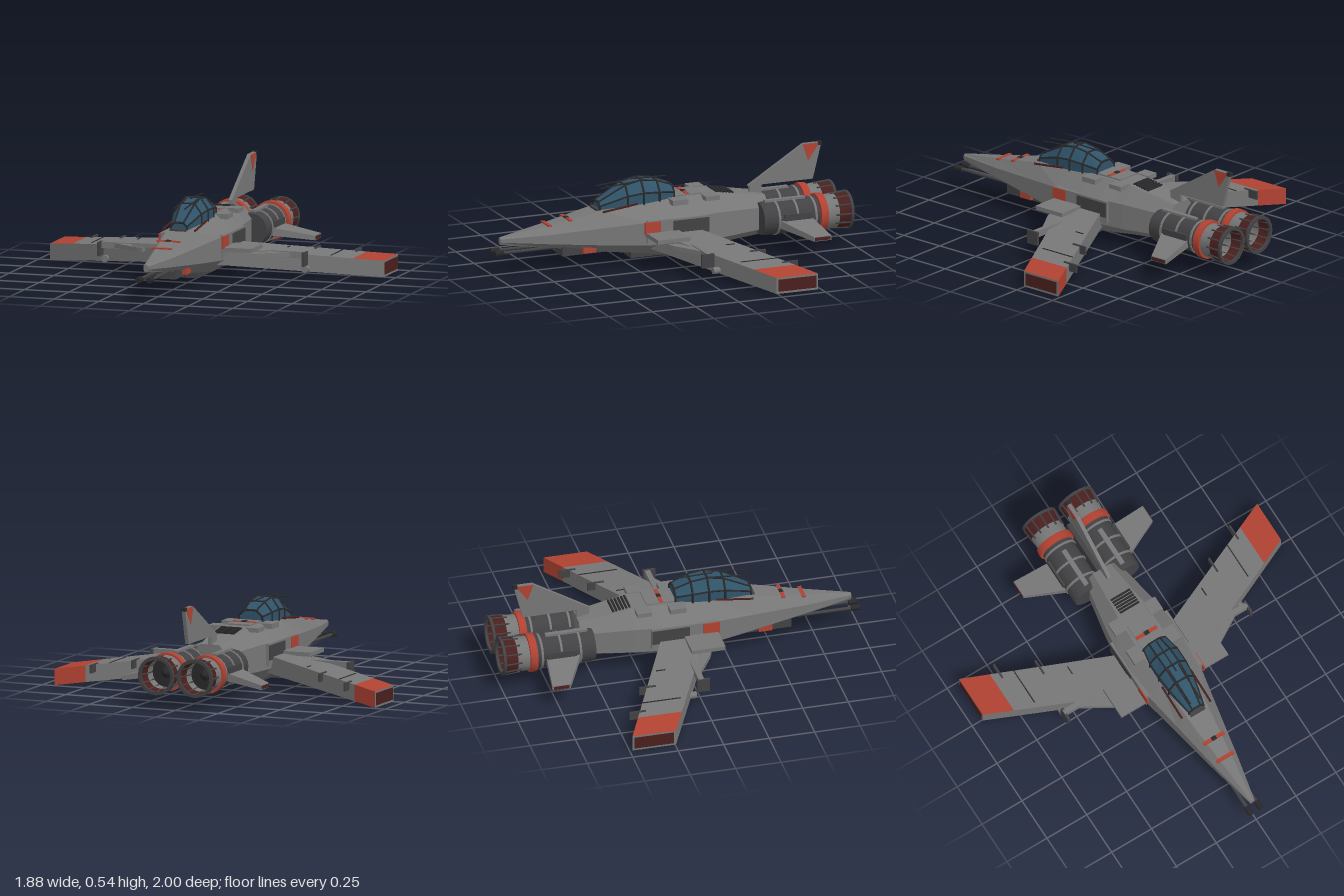
import * as THREE from 'three';
import { toCreasedNormals } from 'three/addons/utils/BufferGeometryUtils.js';

const paint = (name, color) => Object.assign(new THREE.MeshStandardMaterial({ color }), { name });
const M = {
  grey: paint('hull grey', 0x777777),
  dark: paint('dark metal', 0x424244),
  black: paint('gun black', 0x29292b),
  red: paint('signal red', 0xb04232),
  maroon: paint('burnt red', 0x4a1f1d),
  glass: paint('canopy glass', 0x2f5369),
};

// Skins a list of equal rings, flat shaded. Rings run counter-clockwise seen from the first ring's end.
// sideMats gives a material index for each side of the ring.
function loft(rings, sideMats) {
  const n = rings[0].length, pos = [], g = new THREE.BufferGeometry();
  const tri = (...p) => p.forEach((v) => pos.push(...v));
  const group = (start, m) => g.addGroup(start, pos.length / 3 - start, m);
  for (let i = 0; i < n; i++) {
    const start = pos.length / 3, j = (i + 1) % n;
    for (let k = 0; k + 1 < rings.length; k++) {
      const a = rings[k], b = rings[k + 1];
      tri(a[i], b[i], a[j]);
      tri(a[j], b[i], b[j]);
    }
    if (sideMats) group(start, sideMats[i]);
  }
  const start = pos.length / 3, last = rings[rings.length - 1];
  for (let i = 1; i + 1 < n; i++) {
    tri(rings[0][0], rings[0][i], rings[0][i + 1]);
    tri(last[0], last[i + 1], last[i]);
  }
  if (sideMats) group(start, 0);
  g.setAttribute('position', new THREE.Float32BufferAttribute(pos, 3));
  g.computeVertexNormals();
  return g;
}

// Mirror copy across x = 0 with the corner order put right
function mirror(geo) {
  const g = geo.index ? geo.toNonIndexed() : geo.clone();
  for (const key of ['position', 'normal']) {
    const a = g.attributes[key];
    for (let i = 0; i < a.count; i++) a.setX(i, -a.getX(i));
    for (let i = 0; i < a.count; i += 3) {
      const p = new THREE.Vector3().fromBufferAttribute(a, i + 1);
      const q = new THREE.Vector3().fromBufferAttribute(a, i + 2);
      a.setXYZ(i + 1, q.x, q.y, q.z);
      a.setXYZ(i + 2, p.x, p.y, p.z);
    }
  }
  return g;
}

// Box from its limits
function box(x0, x1, y0, y1, z0, z1) {
  return new THREE.BoxGeometry(x1 - x0, y1 - y0, Math.abs(z1 - z0))
    .translate((x0 + x1) / 2, (y0 + y1) / 2, (z0 + z1) / 2);
}

// Round bar between two points
function bar(a, b, r, sides = 6) {
  const p = new THREE.Vector3(...a), q = new THREE.Vector3(...b), d = q.clone().sub(p);
  const turn = new THREE.Quaternion().setFromUnitVectors(new THREE.Vector3(0, 1, 0), d.clone().normalize());
  return new THREE.CylinderGeometry(r, r, d.length(), sides)
    .applyQuaternion(turn).translate(...p.add(q).multiplyScalar(0.5).toArray());
}

// Turned part about the engine axis; profile is [radius, distance aft]
const ENGINE = [0.113, 0.178];
function turned(profile) {
  const pts = profile.map(([r, z]) => new THREE.Vector2(r, z));
  return toCreasedNormals(new THREE.LatheGeometry(pts, 20).rotateX(-Math.PI / 2), 0.5).translate(...ENGINE, 0);
}

// Four-cornered wing section: top rear, top front, bottom front, bottom rear
const rib = (x, zr, zf, yb, yt) => [[x, yt, zr], [x, yt, zf], [x, yb, zf], [x, yb, zr]];
// Horizontal plate from [x, z] corners, counter-clockwise seen from above
const plate = (pts, y0, y1) => loft([y1, y0].map((y) => pts.map(([x, z]) => [x, y, z])));
// Upright plate from [z, y] corners, counter-clockwise seen from +x
const upright = (pts, t) => loft([t, -t].map((x) => pts.map(([z, y]) => [x, y, z])));

export function createModel() {
  const root = new THREE.Group();
  root.name = 'starfighter';
  const add = (name, geo, mat, parent = root) => {
    const m = new THREE.Mesh(geo, mat);
    m.name = name;
    parent.add(m);
  };
  const pair = (name, geo, mat, parent = root) => {
    add(name + 'Left', geo, mat, parent);
    add(name + 'Right', mirror(geo), mat, parent);
  };

  // Fuselage: z, half widths (top, side, bottom), heights (top, shoulder, chine, bottom)
  const hull = [
    [0.96, 0.004, 0.014, 0.008, 0.203, 0.195, 0.178, 0.165],
    [0.70, 0.034, 0.068, 0.028, 0.247, 0.205, 0.155, 0.125],
    [0.40, 0.066, 0.122, 0.050, 0.305, 0.225, 0.130, 0.078],
    [0.18, 0.080, 0.163, 0.060, 0.325, 0.240, 0.115, 0.048],
    [0.00, 0.085, 0.170, 0.062, 0.337, 0.250, 0.110, 0.026],
    [-0.12, 0.085, 0.170, 0.062, 0.340, 0.250, 0.110, 0.034],
    [-0.27, 0.080, 0.152, 0.060, 0.336, 0.250, 0.110, 0.055],
    [-0.55, 0.055, 0.102, 0.050, 0.290, 0.235, 0.120, 0.080],
  ];
  add('fuselage', loft(hull.map(([z, wt, w, wb, yt, ys, yl, yb]) =>
    [[w, yl], [w, ys], [wt, yt], [-wt, yt], [-w, ys], [-w, yl], [-wb, yb], [wb, yb]].map(([x, y]) => [x, y, z]))), M.grey);

  // Raised panels, vents and painted stripes on the back
  add('spinePanel', box(-0.068, 0.068, 0.33, 0.346, -0.18, -0.02), M.grey);
  pair('shoulderPanelRear', box(0.075, 0.147, 0.318, 0.342, -0.25, -0.17), M.grey);
  pair('shoulderPanelFront', box(0.075, 0.147, 0.312, 0.34, -0.07, 0.02), M.grey);
  for (let i = 0; i < 6; i++) {
    const z = -0.27 - i * 0.018, y = 0.336 + (z + 0.27) * 0.16;
    add('ventSlat', box(-0.06, 0.06, y - 0.01, y + 0.008, z - 0.005, z + 0.005), M.black);
  }
  const stripes = [[-0.098, 0.347, 0.065], [0.575, 0.272, 0.065], [0.69, 0.251, 0.053]];
  for (const [z, y, w] of stripes) add('redStripe', box(-w, w, y - 0.006, y + 0.003, z - 0.01, z + 0.01), M.red);
  for (const i of [0, 1]) add('stripeMark', box(-0.014, 0.014, stripes[i][1], stripes[i][1] + 0.006, stripes[i][0] - 0.011, stripes[i][0] + 0.011), M.black);
  add('windscreenVent', box(-0.045, 0.045, 0.3, 0.313, 0.4, 0.42), M.dark);

  // Side panels
  pair('sideRail', box(0.15, 0.178, 0.13, 0.25, -0.18, 0.18), M.grey);
  pair('sideRedPanel', box(0.172, 0.182, 0.18, 0.246, 0.105, 0.195), M.red);
  pair('sideDarkPanel', box(0.172, 0.182, 0.16, 0.24, -0.175, 0.03), M.dark);

  // Canopy: z, base half width, top half width, waist height, top height
  const canopy = new THREE.Group();
  canopy.name = 'canopy';
  root.add(canopy);
  const panes = [
    [0.40, 0.045, 0.025, 0.325, 0.345], [0.25, 0.076, 0.038, 0.372, 0.425], [0.16, 0.084, 0.04, 0.382, 0.444],
    [0.07, 0.084, 0.04, 0.378, 0.432], [-0.02, 0.068, 0.034, 0.366, 0.398],
  ].map(([z, w, t, ym, yt]) => [[w, 0.305], [w, ym], [t, yt], [-t, yt], [-w, ym], [-w, 0.305]].map(([x, y]) => [x, y, z]));
  add('glass', loft(panes), M.glass, canopy);
  panes.forEach((ring, k) => {
    for (let i = 0; i < 5; i++) {
      add('hoop', bar(ring[i], ring[i + 1], 0.006), M.black, canopy);
      if (k && i > 0) add('rail', bar(panes[k - 1][i], ring[i], 0.005), M.black, canopy);
    }
  });
  add('topRod', bar([0, 0.441, 0.0], [0, 0.446, 0.2], 0.004), M.black, canopy);
  pair('frontRod', bar([0.03, 0.418, 0.39], [0.03, 0.44, 0.16], 0.004), M.black, canopy);
  pair('sillRod', bar([0.09, 0.305, 0.4], [0.09, 0.33, 0.2], 0.006), M.maroon, canopy);

  // Chin guns and housing
  add('chinHousing', box(-0.055, 0.055, 0.075, 0.14, 0.36, 0.62), M.dark);
  add('keel', box(-0.045, 0.045, 0.02, 0.07, -0.08, 0.22), M.dark);
  pair('gunBarrel', bar([0.031, 0.125, 0.5], [0.031, 0.125, 0.96], 0.009, 10), M.dark);
  pair('gunMuzzle', bar([0.031, 0.125, 0.952], [0.031, 0.125, 1.0], 0.016, 10), M.black);
  pair('chinFin', box(0.055, 0.08, 0.085, 0.118, 0.435, 0.51), M.red);

  // Main wings: swept, drooping, with red tips
  const at = (x) => {
    const s = (x - 0.13) / 0.805;
    return rib(x, -0.11 - 0.375 * s, 0.14 - 0.385 * s, 0.085 * (1 - s), 0.18 - 0.092 * s);
  };
  pair('wing', loft([at(0.785), at(0.13)]), M.grey);
  pair('wingTip', loft([at(0.935), at(0.785)], [1, 0, 0, 1]), [M.grey, M.red]);
  pair('wingTipInset', loft([rib(0.938, -0.473, -0.257, 0.012, 0.078), rib(0.932, -0.473, -0.257, 0.012, 0.078)]), M.maroon);
  const wingTop = (x) => at(x)[0][1];
  for (const [x, z0, z1] of [[0.67, -0.36, -0.15], [0.42, -0.22, -0.17]])
    pair('wingSeam', box(x - 0.003, x + 0.003, wingTop(x) - 0.004, wingTop(x) + 0.003, z0, z1), M.black);
  for (const [x, z] of [[0.74, -0.45], [0.545, -0.345]])
    pair('trailingSpike', box(x - 0.005, x + 0.005, wingTop(x) - 0.04, wingTop(x) + 0.006, z, z + 0.09), M.dark);

  // Forward strakes and the cross bar over the leading edge
  pair('strake', box(0.14, 0.335, 0.165, 0.187, 0.0, 0.185), M.grey);
  pair('crossBar', box(0.2, 0.575, 0.12, 0.155, -0.025, 0.005), M.grey);
  pair('gusset', plate([[0.3, 0.0], [0.3, 0.115], [0.335, 0.1], [0.5, 0.0]], 0.125, 0.15), M.grey);
  pair('barEndPost', box(0.565, 0.58, 0.08, 0.155, -0.035, 0.035), M.dark);
  pair('wingPod', bar([0.56, 0.055, -0.11], [0.56, 0.055, -0.035], 0.019, 12), M.grey);

  // Engines
  pair('engineBody', turned([[0, 0.49], [0.086, 0.49], [0.09, 0.51], [0.09, 0.81], [0, 0.81]]), M.dark);
  for (const z of [0.575, 0.68, 0.785])
    pair('engineRib', turned([[0.085, z - 0.006], [0.095, z - 0.006], [0.095, z + 0.006], [0.085, z + 0.006]]), M.grey);
  pair('engineTopStrip', box(0.1, 0.126, 0.262, 0.278, -0.75, -0.52), M.grey);
  pair('engineSidePanel', box(0.19, 0.21, 0.15, 0.21, -0.76, -0.6), M.dark);
  pair('engineRedRing', turned([[0.08, 0.81], [0.104, 0.812], [0.106, 0.83], [0.104, 0.852], [0.08, 0.854]]), M.red);
  pair('engineCollar', turned([[0.08, 0.85], [0.092, 0.85], [0.094, 0.925], [0.08, 0.925], [0.08, 0.85]]), M.grey);
  pair('nozzle', turned([[0.08, 0.92], [0.094, 0.92], [0.1, 0.992], [0.09, 0.992], [0.08, 0.92]]), M.maroon);
  pair('nozzleRim', turned([[0.087, 0.985], [0.104, 0.985], [0.104, 1.0], [0.087, 1.0], [0.087, 0.985]]), M.dark);
  pair('exhaustPlate', turned([[0.082, 0.862], [0.03, 0.862], [0, 0.89]]), M.black);
  for (let i = 0; i < 12; i++) {
    const a = (i / 12) * Math.PI * 2, p = (r, z) => [ENGINE[0] + r * Math.cos(a), ENGINE[1] + r * Math.sin(a), z];
    pair('nozzleStrut', bar(p(0.094, -0.9), p(0.1, -0.99), 0.005, 5), M.dark);
    pair('innerStrut', bar(p(0.08, -0.87), p(0.088, -0.99), 0.005, 5), M.dark);
  }
  add('engineSpine', box(-0.012, 0.012, 0.14, 0.22, -0.88, -0.5), M.dark);

  // Rear stabilisers
  pair('stabiliser', loft([rib(0.405, -0.785, -0.685, 0.105, 0.13), rib(0.17, -0.76, -0.565, 0.14, 0.185)]), M.grey);
  pair('stabiliserTip', box(0.403, 0.409, 0.109, 0.126, -0.778, -0.692), M.maroon);

  // Tail fin with red flash
  add('tailFin', upright([[-0.895, 0.533], [-0.79, 0.533], [-0.47, 0.335], [-0.845, 0.335]], 0.01), M.grey);
  add('finFlash', upright([[-0.882, 0.53], [-0.788, 0.53], [-0.818, 0.44]], 0.012), M.red);
  add('finTipLight', box(-0.013, 0.013, 0.517, 0.537, -0.897, -0.875), M.black);
  add('finMount', box(-0.01, 0.01, 0.28, 0.34, -0.55, -0.48), M.grey);
  return root;
}
